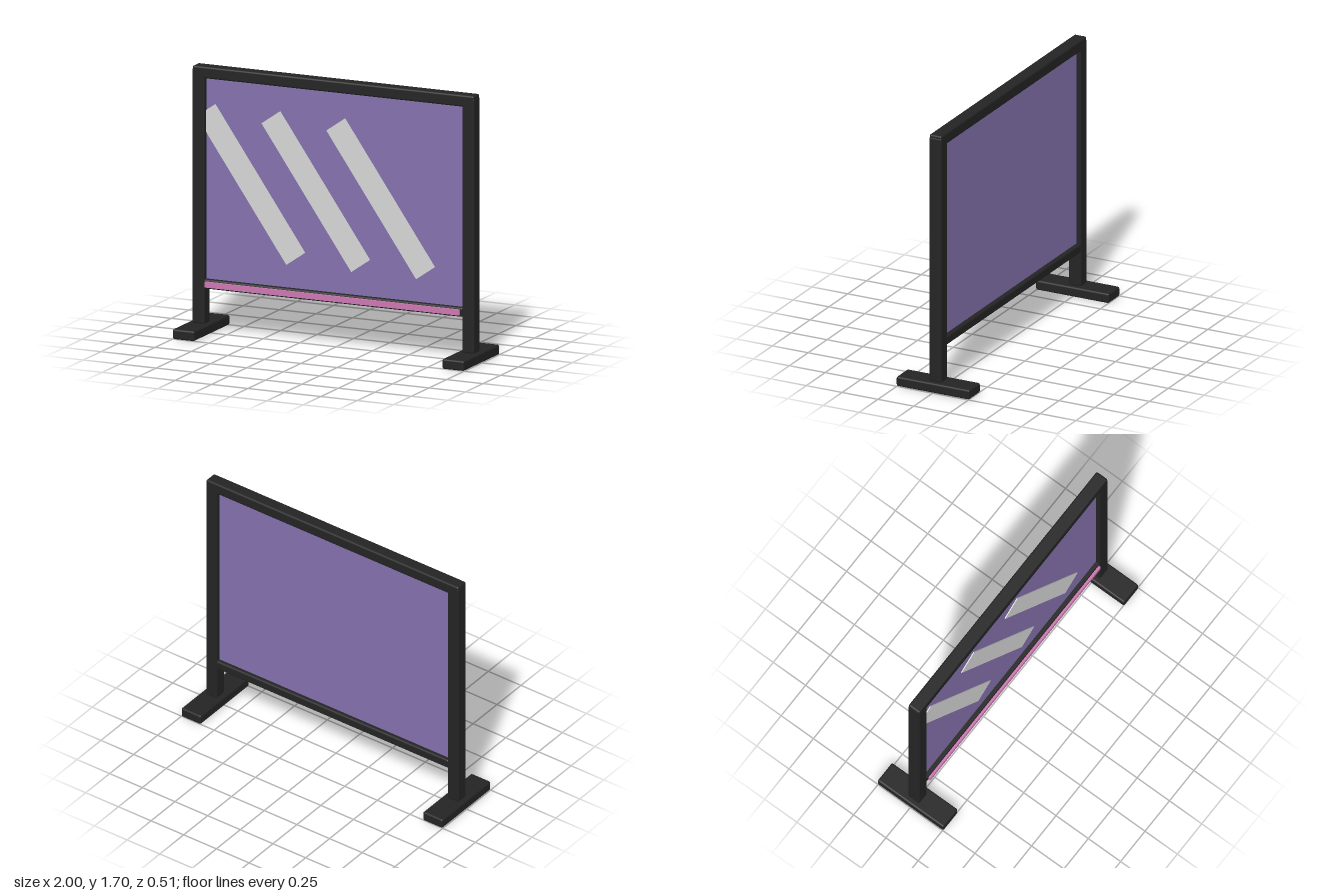
import * as THREE from 'three';
import { RoundedBoxGeometry } from 'three/addons/geometries/RoundedBoxGeometry.js';

const material = (name, color) => {
  const m = new THREE.MeshStandardMaterial({ color });
  m.name = name;
  return m;
};

export function createModel() {
  const group = new THREE.Group();
  const frame = material('charcoal', 0x242424);
  const violet = material('violet', 0x8471ad);
  const pale = material('pale grey', 0xd6d6d6);
  const pink = material('pink', 0xcc78b2);

  const add = (name, geometry, mat, x, y, z) => {
    const mesh = new THREE.Mesh(geometry, mat);
    mesh.name = name;
    mesh.position.set(x, y, z);
    group.add(mesh);
    return mesh;
  };
  const bar = (w, h, d, r = 0.012) => new RoundedBoxGeometry(w, h, d, 2, r);

  // Posts and feet, mirrored left and right
  for (const [side, s] of [['left', 1], ['right', -1]]) {
    add(side + 'Post', bar(0.085, 1.62, 0.086), frame, s * 0.925, 0.87, 0);
    add(side + 'Foot', bar(0.15, 0.064, 0.51), frame, s * 0.925, 0.032, 0);
  }

  // Rails across the top and under the panel
  add('topRail', bar(1.93, 0.075, 0.086), frame, 0, 1.658, 0);
  add('bottomRail', bar(1.78, 0.06, 0.086), frame, 0, 0.317, 0);

  // Recessed panel
  add('panel', new THREE.BoxGeometry(1.78, 1.3, 0.03), violet, 0, 0.983, 0);

  // Diagonal stripes on the front; the outer one runs in behind its post
  for (const x of [-0.575, -0.13, 0.315]) {
    const stripe = add('stripe', new THREE.BoxGeometry(0.155, 1.075, 0.006), pale, x, 0.975, 0.018);
    stripe.rotation.z = 0.61;
  }

  // Thin accent strip along the front of the bottom rail
  add('accentStrip', new THREE.BoxGeometry(1.745, 0.036, 0.018), pink, 0, 0.317, 0.049);

  return group;
}
